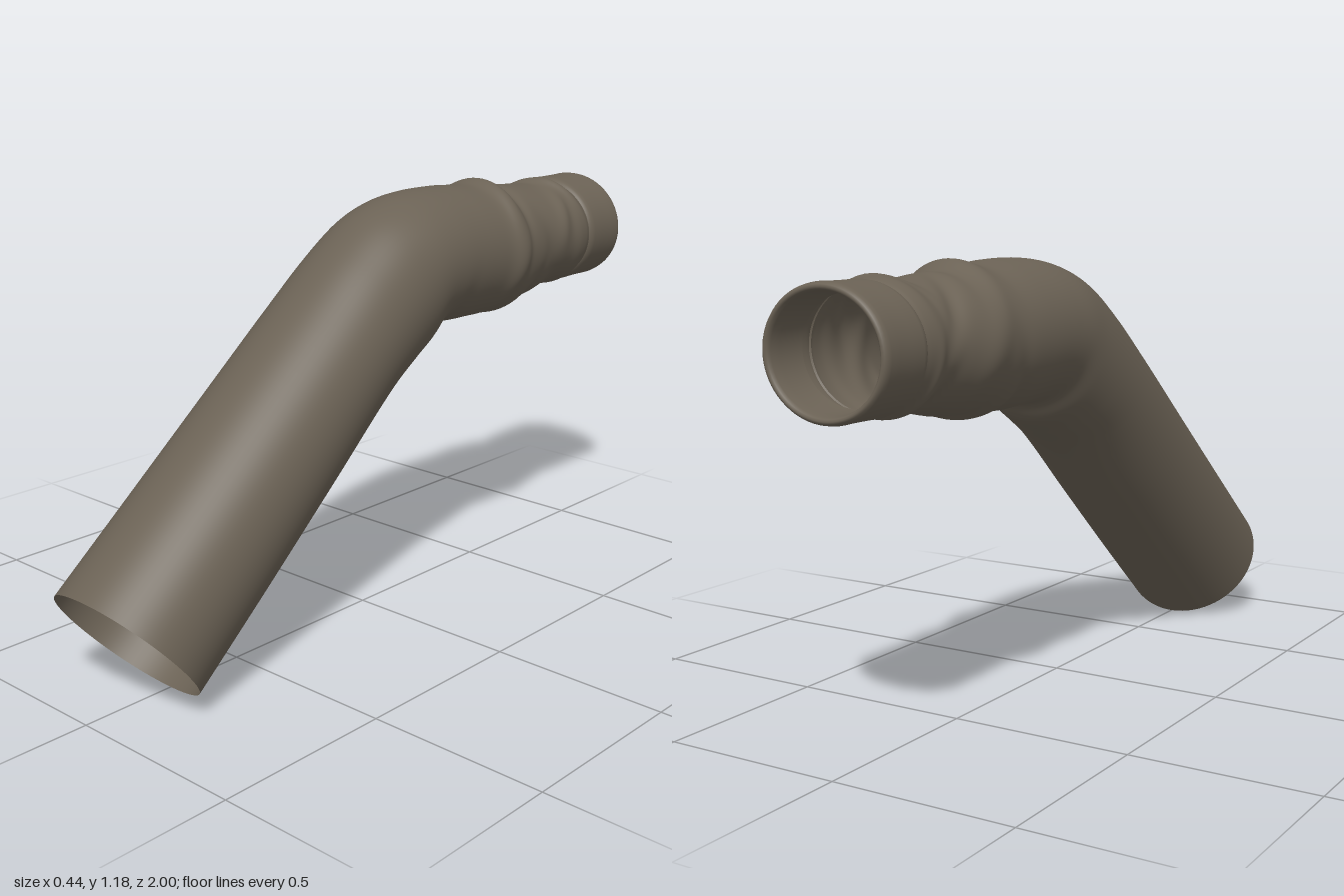
import * as THREE from 'three';

const cloth = new THREE.MeshStandardMaterial({ color: 0x6b6255, side: THREE.DoubleSide });
cloth.name = 'olive brown cloth';

// Sleeve stations: top z, top y, bottom z, bottom y, left half-width, right half-width
const STATIONS = [
  [1.0, 0.33, 0.73, 0.003, 0.22, 0.22],
  [0.75, 0.533, 0.485, 0.215, 0.218, 0.217],
  [0.5, 0.737, 0.24, 0.43, 0.214, 0.213],
  [0.25, 0.94, 0.0, 0.64, 0.208, 0.21],
  [0.12, 1.045, -0.09, 0.697, 0.205, 0.208],
  [0.0, 1.125, -0.155, 0.738, 0.204, 0.206],
  [-0.1, 1.16, -0.195, 0.782, 0.203, 0.205],
  [-0.2, 1.174, -0.235, 0.79, 0.202, 0.203],
  [-0.33, 1.174, -0.34, 0.787, 0.2, 0.201],
  [-0.43, 1.167, -0.43, 0.786, 0.2, 0.199],
  [-0.49, 1.17, -0.5, 0.788, 0.2, 0.196],
  [-0.55, 1.158, -0.56, 0.794, 0.188, 0.192],
  [-0.62, 1.15, -0.63, 0.807, 0.182, 0.188],
  [-0.7, 1.14, -0.7, 0.822, 0.18, 0.178],
  [-0.75, 1.138, -0.75, 0.826, 0.176, 0.172],
  [-0.79, 1.148, -0.79, 0.822, 0.178, 0.174],
  [-0.82, 1.143, -0.82, 0.826, 0.174, 0.172],
  [-0.84, 1.134, -0.84, 0.834, 0.168, 0.17],
  [-0.87, 1.134, -0.87, 0.834, 0.168, 0.17],
];

// Cloth folds: z, angle from the top (towards left), angular spread, width, height, slant
const FOLDS = [
  [-0.48, 0.5, 1.1, 0.028, 0.012, 0.03],
  [-0.54, 0.6, 1.0, 0.025, -0.010, 0.03],
  [-0.47, 1.7, 0.6, 0.035, 0.010, 0.05],
  [-0.58, -1.6, 0.8, 0.05, 0.010, 0.06],
  [-0.68, -0.8, 0.7, 0.03, -0.010, 0.08],
  [-0.66, 1.8, 0.7, 0.035, -0.010, -0.06],
  [-0.73, 0.9, 0.6, 0.03, 0.010, 0.05],
  [-0.78, 0.3, 0.8, 0.016, 0.009, -0.04],
  [-0.50, 3.0, 0.9, 0.03, 0.008, 0.04],
  [-0.57, 2.8, 0.8, 0.025, -0.010, 0.04],
  [-0.43, -2.3, 0.7, 0.03, -0.009, -0.05],
  [-0.74, -2.5, 0.8, 0.03, -0.008, 0.04],
  [-0.80, -2.6, 0.9, 0.016, 0.008, 0.02],
  [-0.23, 2.7, 0.7, 0.03, -0.006, 0.03],
];

function foldHeight(z, angle) {
  let h = 0;
  for (const [z0, a0, spread, width, height, slant] of FOLDS) {
    const da = Math.atan2(Math.sin(angle - a0), Math.cos(angle - a0));
    const dz = z - z0 - slant * da;
    h += height * Math.exp(-((da / spread) ** 2) - (dz / width) ** 2);
  }
  return h;
}

// Closed rings swept between the top and bottom outlines
function sleeveGeometry(sides = 72, steps = 8) {
  const top = new THREE.CatmullRomCurve3(STATIONS.map(s => new THREE.Vector3(s[4], s[1], s[0])));
  const bottom = new THREE.CatmullRomCurve3(STATIONS.map(s => new THREE.Vector3(s[5], s[3], s[2])));
  const rings = (STATIONS.length - 1) * steps;
  const positions = [], index = [];
  for (let i = 0; i <= rings; i++) {
    const t = top.getPoint(i / rings), b = bottom.getPoint(i / rings);
    const cy = (t.y + b.y) / 2, cz = (t.z + b.z) / 2;
    const hy = (t.y - b.y) / 2, hz = (t.z - b.z) / 2, half = Math.hypot(hy, hz);
    for (let j = 0; j < sides; j++) {
      const a = j / sides * Math.PI * 2, c = Math.cos(a), s = Math.sin(a);
      const h = foldHeight(cz + hz * c, a);
      const k = c * (1 + h / half);
      positions.push(s * ((s > 0 ? t.x : b.x) + h), cy + hy * k, cz + hz * k);
      if (i < rings) {
        const j2 = (j + 1) % sides, p = i * sides, q = p + sides;
        index.push(p + j, p + j2, q + j, p + j2, q + j2, q + j);
      }
    }
  }
  const g = new THREE.BufferGeometry();
  g.setAttribute('position', new THREE.Float32BufferAttribute(positions, 3));
  g.setIndex(index);
  g.computeVertexNormals();
  return g;
}

// Cuff with a rounded rim that turns back inside
function cuffGeometry() {
  const profile = [
    [0.166, 0.838], [0.172, 0.842], [0.177, 0.85], [0.179, 0.862], [0.178, 0.9], [0.178, 0.95],
    [0.179, 0.98], [0.177, 0.991], [0.172, 0.998], [0.166, 1.0], [0.16, 0.997],
    [0.156, 0.988], [0.154, 0.96], [0.152, 0.92], [0.148, 0.89],
  ].map(([r, d]) => new THREE.Vector2(r, d));
  const g = new THREE.LatheGeometry(profile, 72);
  g.scale(1, 1, 0.895);
  g.rotateX(-Math.PI / 2);
  g.translate(-0.002, 0.985, 0);
  return g;
}

export function createModel() {
  const model = new THREE.Group();
  model.name = 'bentSleeve';
  const add = (name, geometry) => {
    const mesh = new THREE.Mesh(geometry, cloth);
    mesh.name = name;
    model.add(mesh);
  };
  add('sleeve', sleeveGeometry());
  add('cuff', cuffGeometry());
  return model;
}
